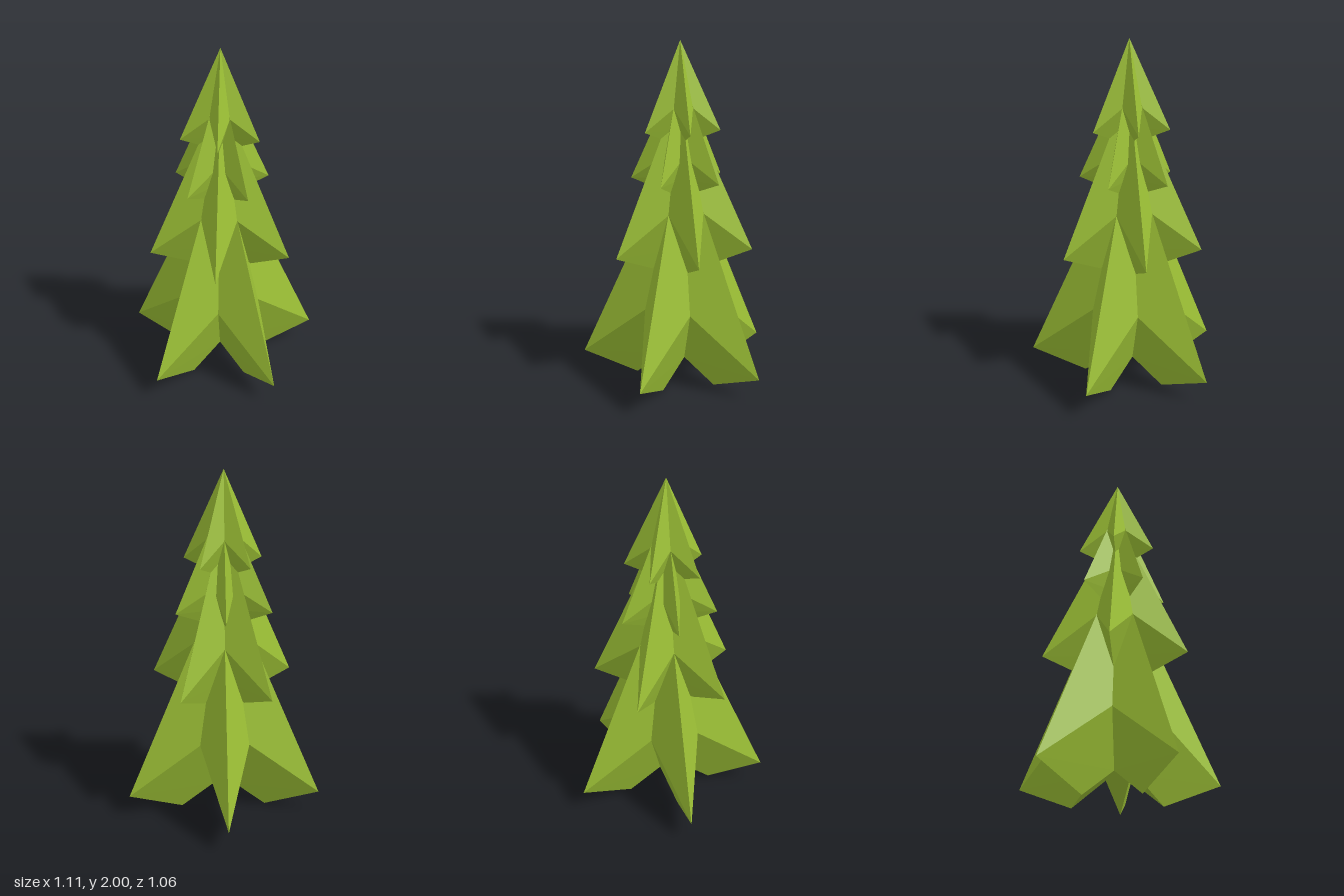
import * as THREE from 'three';

const ARMS = 5;
const STEP = Math.PI / ARMS;
const AXIS_Z = -0.056; // the pointed plan is not symmetric front to back

// Tiers from bottom to top; odd ones are turned by half a step.
const TIERS = [
  { name: 'bottomTier', y: 0, scale: 1, turn: 0 },
  { name: 'lowerMiddleTier', y: 0.706, scale: 0.724, turn: STEP },
  { name: 'upperMiddleTier', y: 1.157, scale: 0.483, turn: 0, valleyR: 0.205, valleyY: 0.42 },
  { name: 'topTier', y: 1.45, scale: 0.392, turn: STEP, apex: 0.55 / 0.392 },
];

// A five-armed star cone with a thick, notched underside.
function starCone({ scale, turn, valleyR = 0.24, valleyY = 0.46, apex = 1.43 }) {
  const point = (r, y, a) => [scale * r * Math.sin(a), scale * y, scale * r * Math.cos(a)];
  const positions = [];
  const top = point(0, apex, 0);
  const hollow = point(0, 0.2, 0);

  for (let i = 0; i < ARMS; i++) {
    const a = turn + i * 2 * STEP;
    const tip = point(0.586, 0.13, a);
    const heel = point(0.261, 0, a);
    // Both halves of the arm, mirrored about its ridge.
    for (const side of [1, -1]) {
      const valley = point(valleyR, valleyY, a + side * STEP);
      const notch = point(0.11, 0.15, a + side * STEP);
      const faces = [
        [top, tip, valley],
        [tip, heel, notch],
        [tip, notch, valley],
        [notch, heel, hollow],
      ];
      for (const f of faces) positions.push(...(side > 0 ? f : [f[0], f[2], f[1]]).flat());
    }
  }
  const geometry = new THREE.BufferGeometry();
  geometry.setAttribute('position', new THREE.Float32BufferAttribute(positions, 3));
  geometry.computeVertexNormals();
  return geometry;
}

export function createModel() {
  const group = new THREE.Group();
  group.name = 'firTree';
  const foliage = new THREE.MeshStandardMaterial({ color: 0x9bbf35, flatShading: true });

  for (const tier of TIERS) {
    const mesh = new THREE.Mesh(starCone(tier), foliage);
    mesh.name = tier.name;
    mesh.position.set(0, tier.y, AXIS_Z);
    group.add(mesh);
  }
  return group;
}
